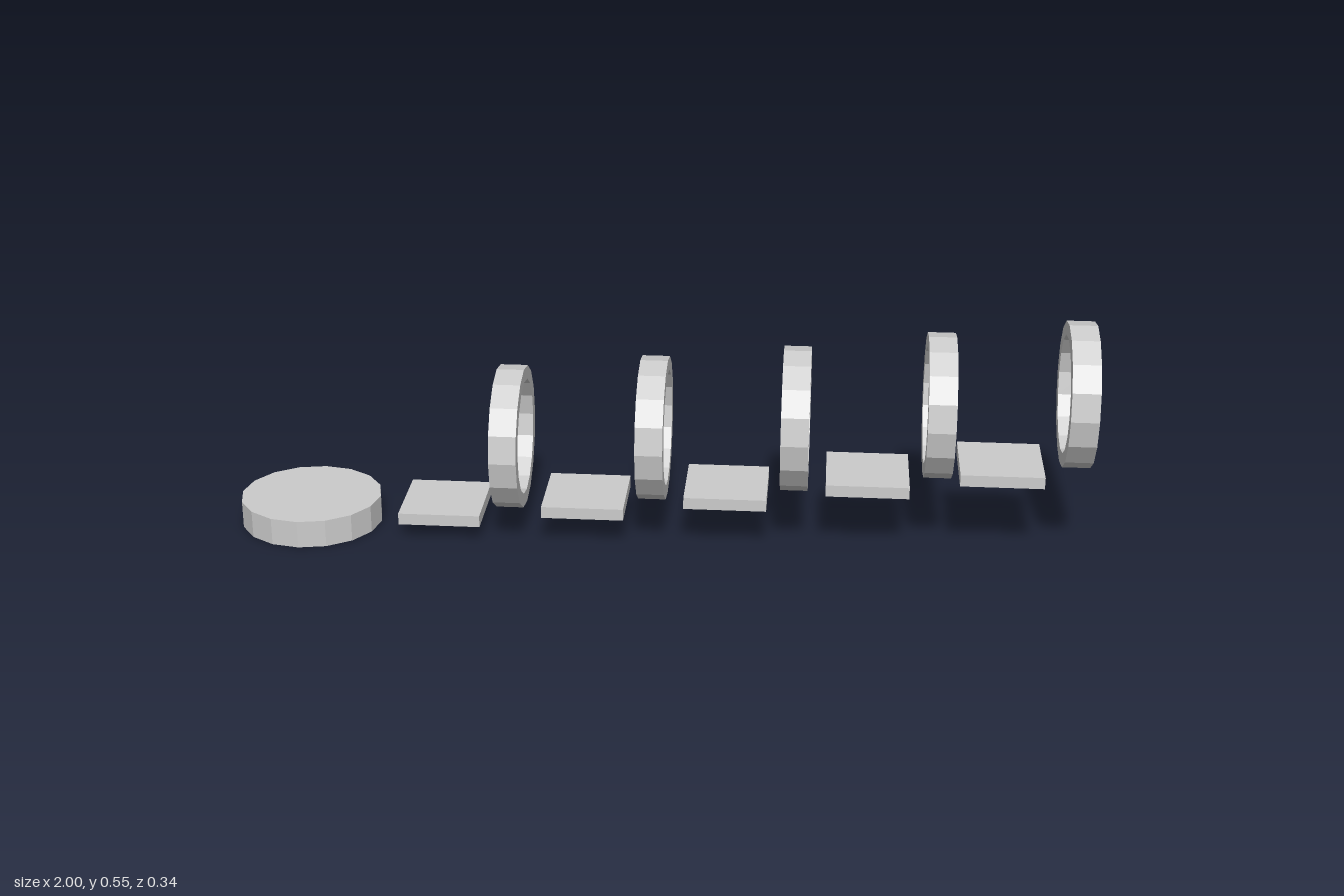
import * as THREE from 'three';

const SIDES = 16;

export function createModel() {
  const group = new THREE.Group();
  const material = new THREE.MeshStandardMaterial({ color: 0xcccccc, flatShading: true });

  const add = (name, geometry, x, y, z) => {
    const mesh = new THREE.Mesh(geometry, material);
    mesh.name = name;
    mesh.position.set(x, y, z);
    group.add(mesh);
    return mesh;
  };

  // Round starting platform, slightly wider along x
  const disc = new THREE.CylinderGeometry(1, 1, 0.066, SIDES);
  disc.scale(0.168, 1, 0.16);
  add('startPlatform', disc, -0.832, 0.033, 0.002);

  // Rising row of square stepping slabs: [x, y, z] centres
  const slab = new THREE.BoxGeometry(0.193, 0.028, 0.194);
  [
    [-0.508, 0.051, -0.002],
    [-0.168, 0.081, -0.002],
    [0.166, 0.117, -0.002],
    [0.495, 0.16, -0.005],
    [0.802, 0.197, -0.005],
  ].forEach(([x, y, z], i) => add(`slab${i + 1}`, slab, x, y, z));

  // Upright hoops: rectangular section turned about the x axis
  const outer = 0.168, inner = 0.136, half = 0.032;
  const section = [
    [outer, -half], [outer, half], [inner, half], [inner, -half], [outer, -half],
  ].map(([r, h]) => new THREE.Vector2(r, h));
  const hoop = new THREE.LatheGeometry(section, SIDES);
  hoop.rotateZ(Math.PI / 2);
  [
    [-0.342, 0.234, 0.002],
    [-0.006, 0.267, 0.001],
    [0.325, 0.301, 0],
    [0.654, 0.344, -0.002],
    [0.968, 0.382, -0.001],
  ].forEach(([x, y, z], i) => add(`hoop${i + 1}`, hoop, x, y, z));

  return group;
}
